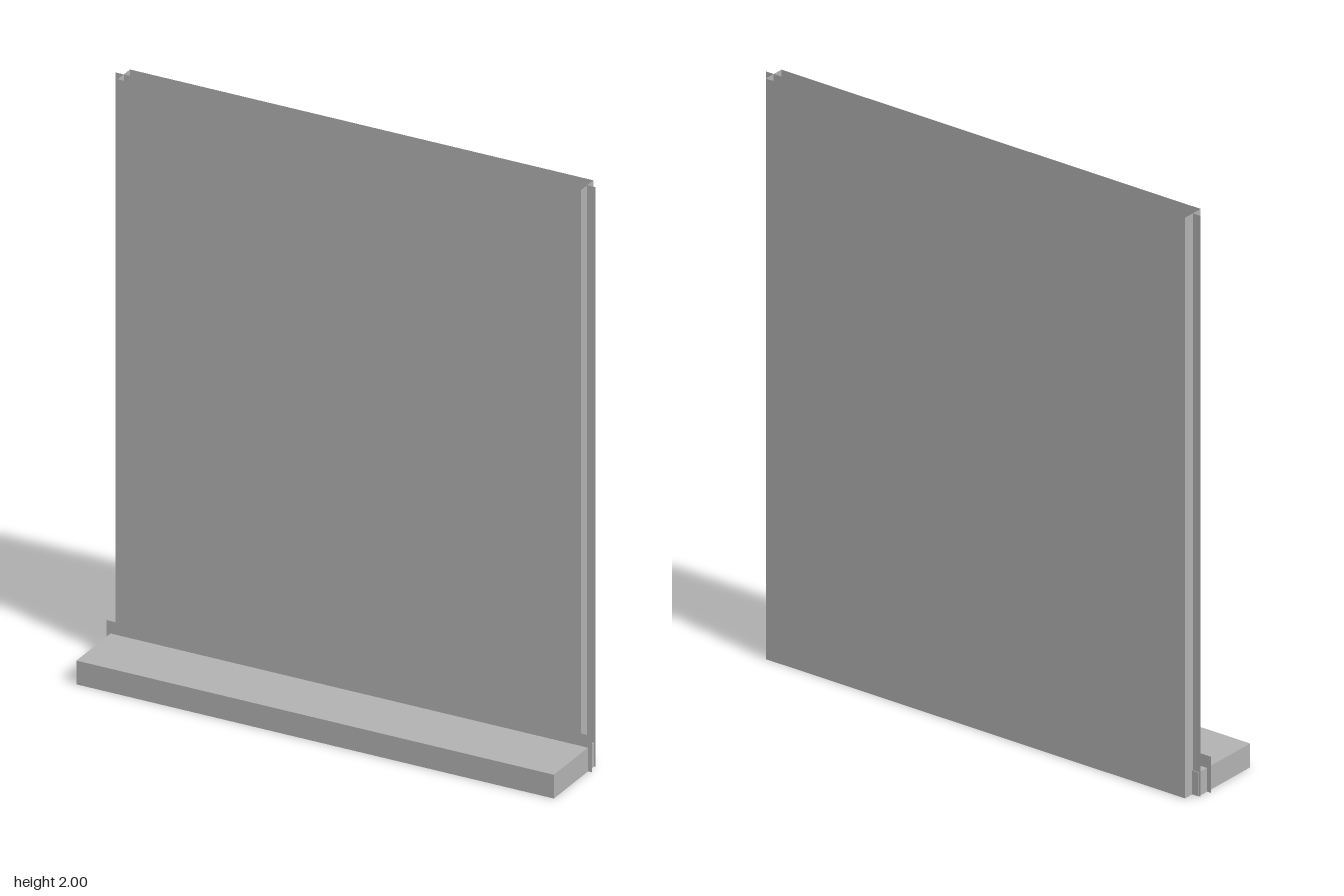
import * as THREE from 'three';

export function createModel() {
  const group = new THREE.Group();
  const grey = new THREE.MeshStandardMaterial({ color: 0xb2b2b2, side: THREE.DoubleSide });
  grey.name = 'plain grey';

  const add = (name, geometry, x, y, z) => {
    const mesh = new THREE.Mesh(geometry, grey);
    mesh.name = name;
    mesh.position.set(x, y, z);
    group.add(mesh);
    return mesh;
  };

  const H = 2, W = 0.82, FRONT = -0.07, BACK = -0.15, MID = -0.11;
  const depth = FRONT - BACK;

  // Hollow panel of thin sheets, open at the top
  add('frontSheet', new THREE.PlaneGeometry(2 * W, H), 0, H / 2, FRONT);
  add('backSheet', new THREE.PlaneGeometry(2 * W, H).rotateY(Math.PI), 0, H / 2, BACK);
  add('panelFloor', new THREE.PlaneGeometry(2 * W, depth).rotateX(Math.PI / 2), 0, 0, (FRONT + BACK) / 2);

  for (const [side, s] of [['left', 1], ['right', -1]]) {
    // Side wall, upright fin passing through it, and wider foot plate
    add(side + 'Wall', new THREE.PlaneGeometry(depth, H).rotateY(s * Math.PI / 2), s * W, H / 2, (FRONT + BACK) / 2);
    add(side + 'Fin', new THREE.PlaneGeometry(0.08, H), s * 0.81, H / 2, MID);
    add(side + 'FootPlate', new THREE.PlaneGeometry(0.04, 0.125), s * 0.84, 0.0625, FRONT);
  }

  // Tray along the foot of the panel
  add('tray', new THREE.BoxGeometry(1.69, 0.082, 0.263), 0, 0.041, 0.0185);

  return group;
}
